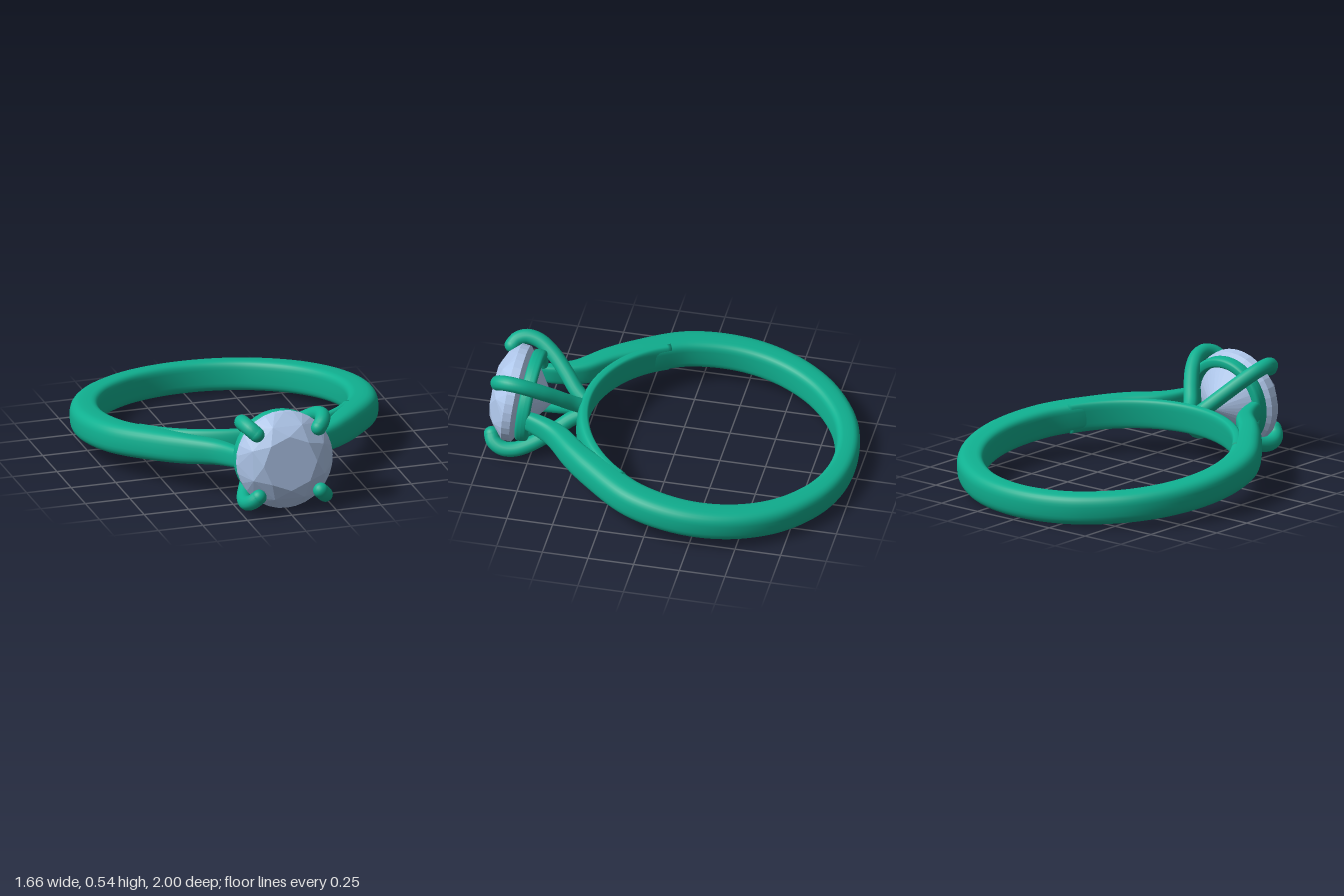
import * as THREE from 'three';
import { ConvexGeometry } from 'three/addons/geometries/ConvexGeometry.js';

const CZ = -0.2075; // centre of the finger hole
const polar = (r, deg, y = 0) => {
  const a = THREE.MathUtils.degToRad(deg);
  return new THREE.Vector3(r * Math.sin(a), y, CZ + r * Math.cos(a));
};

// Rounded-rectangle outline point, n controls squareness
const squircle = (t, n) => {
  const f = (v) => Math.sign(v) * Math.pow(Math.abs(v), 2 / n);
  return [f(Math.cos(t)), f(Math.sin(t))];
};

// Sweep a soft section between an inner and an outer edge; y of the outer edge is the half height
function loft(inner, outer, steps, sides = 32) {
  const a = new THREE.CatmullRomCurve3(inner), b = new THREE.CatmullRomCurve3(outer);
  const pos = [], idx = [];
  for (let i = 0; i <= steps; i++) {
    const p = a.getPoint(i / steps), q = b.getPoint(i / steps);
    for (let j = 0; j < sides; j++) {
      const t = (j / sides) * Math.PI * 2;
      const [u, v] = squircle(t, Math.cos(t) > 0 ? 2.8 : 4);
      const k = (u + 1) / 2;
      pos.push(p.x + (q.x - p.x) * k, q.y * v, p.z + (q.z - p.z) * k);
      if (i < steps) {
        const j2 = (j + 1) % sides, r = i * sides, s = r + sides;
        idx.push(r + j, s + j, r + j2, s + j, s + j2, r + j2);
      }
    }
  }
  const e = steps * sides;
  for (let j = 1; j < sides - 1; j++) idx.push(0, j, j + 1, e, e + j + 1, e + j);
  const g = new THREE.BufferGeometry();
  g.setAttribute('position', new THREE.Float32BufferAttribute(pos, 3));
  g.setIndex(idx);
  g.computeVertexNormals();
  return g;
}

export function createModel() {
  const model = new THREE.Group();
  const metal = new THREE.MeshStandardMaterial({ color: 0x10b090 });
  const crystal = new THREE.MeshStandardMaterial({ color: 0xb0c8ec, flatShading: true });
  const add = (name, geometry, material = metal, parent = model) => {
    const m = new THREE.Mesh(geometry, material);
    m.name = name;
    parent.add(m);
    return m;
  };
  const V = (x, y, z) => new THREE.Vector3(x, y, z);

  // Band: one shoulder, round the back, other shoulder
  const inner = [V(0.19, 0, 0.8), V(0.2, 0, 0.7), V(0.265, 0, 0.545), V(0.4, 0, 0.395), V(0.5, 0, 0.235)];
  const outer = [V(0.235, 0.048, 0.82), V(0.25, 0.055, 0.77), V(0.32, 0.066, 0.64), V(0.46, 0.078, 0.51), V(0.58, 0.083, 0.38)];
  const outerRadius = { 68: 0.83, 90: 0.828, 110: 0.822, 130: 0.813, 150: 0.802, 165: 0.796, 180: 0.7925 };
  for (const deg of [68, 90, 110, 130, 150, 165, 180]) {
    inner.push(polar(0.665, deg));
    outer.push(polar(outerRadius[deg], deg, 0.084));
  }
  const mirrored = (list) => [...list, ...list.slice(0, -1).reverse().map((p) => V(-p.x, p.y, p.z))];
  add('band', loft(mirrored(inner), mirrored(outer), 176));

  // Thin bridge closing the finger hole under the setting
  const bridgeIn = [], bridgeOut = [];
  for (let d = -58; d <= 58; d += 7.25) {
    bridgeIn.push(polar(0.665, d));
    bridgeOut.push(polar(0.7275, d, 0.082));
  }
  add('bridge', loft(bridgeIn, bridgeOut, 64));

  // Collar ring holding the prongs together
  const collarProfile = [];
  for (let i = 0; i <= 20; i++) {
    const [u, v] = squircle((i / 20) * Math.PI * 2, 3.2);
    collarProfile.push(new THREE.Vector2(0.227 + 0.028 * u, 0.786 + 0.036 * v));
  }
  add('collar', new THREE.LatheGeometry(collarProfile, 64).rotateX(Math.PI / 2));

  // Four curved prongs, each ending in a rounded claw
  const prongPath = [[0.03, 0.49], [0.08, 0.555], [0.16, 0.63], [0.245, 0.72], [0.3, 0.81], [0.308, 0.88], [0.282, 0.93], [0.245, 0.95]]
    .map(([r, z]) => V(r, 0, z));
  const prongCurve = new THREE.CatmullRomCurve3(prongPath);
  for (let i = 0; i < 4; i++) {
    const prong = new THREE.Group();
    prong.name = 'prong' + (i + 1);
    prong.rotation.z = Math.PI / 4 + (i * Math.PI) / 2;
    add('prongStem', new THREE.TubeGeometry(prongCurve, 48, 0.041, 16), metal, prong);
    const tip = add('prongTip', new THREE.SphereGeometry(0.041, 20, 14), metal, prong);
    tip.position.copy(prongPath[prongPath.length - 1]);
    model.add(prong);
  }

  // Faceted round stone: culet, pavilion, girdle, crown and table
  const points = [V(0, 0, 0.66)];
  const ring = (r, z, n, turn = 0) => {
    for (let i = 0; i < n; i++) {
      const a = ((i + turn) / n) * Math.PI * 2;
      points.push(V(r * Math.cos(a), r * Math.sin(a), z));
    }
  };
  ring(0.128, 0.749, 8, 0.5);
  ring(0.263, 0.845, 32);
  ring(0.266, 0.89, 32);
  ring(0.216, 0.948, 8, 0.5);
  ring(0.15, 0.984, 8);
  add('stone', new ConvexGeometry(points), crystal);

  // The whole ring rests tilted, setting raised
  model.rotation.x = -0.105;
  model.position.y = 0.195;
  const root = new THREE.Group();
  root.name = 'ring';
  root.add(model);
  return root;
}
